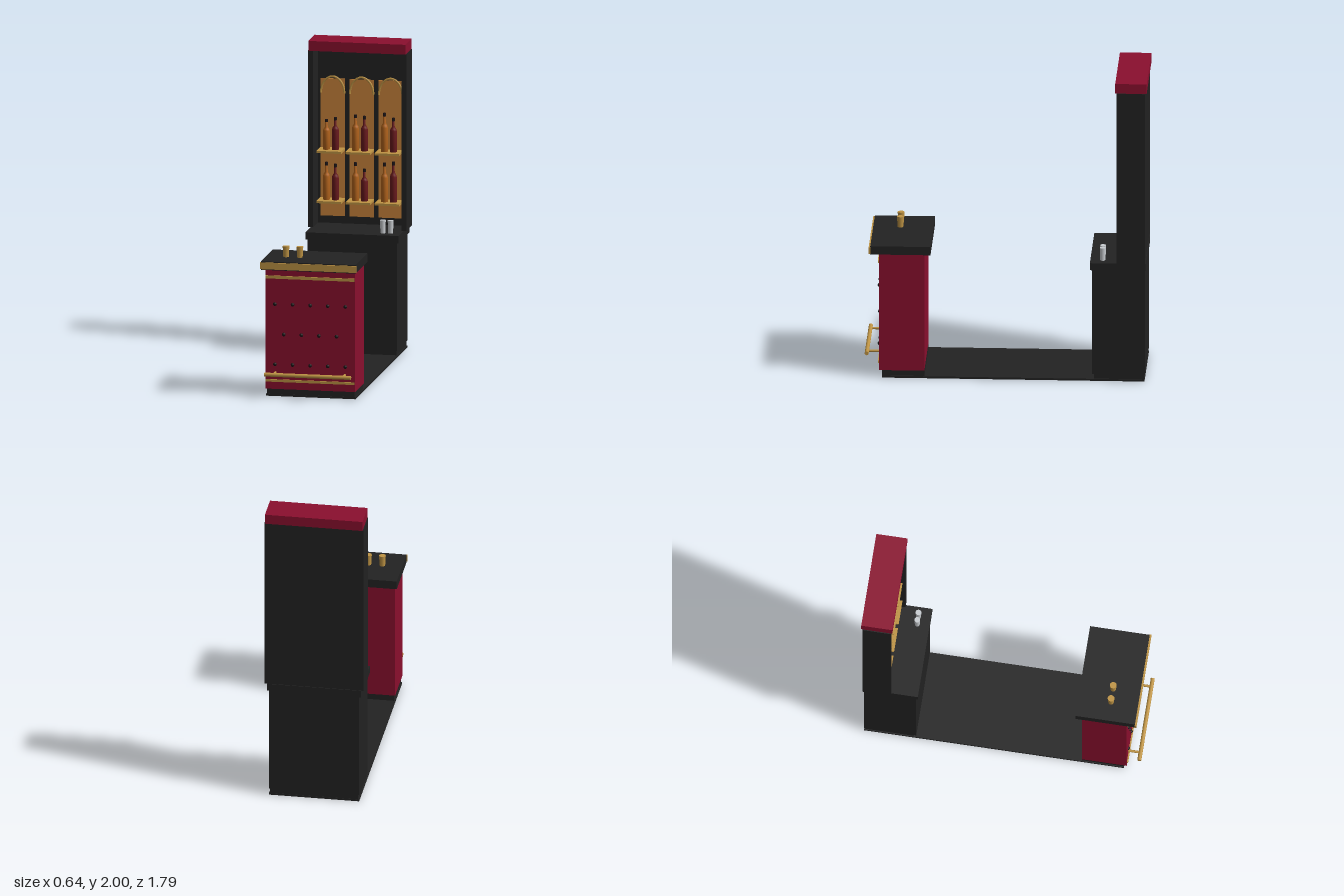
import * as THREE from 'three';

const material = (name, color) => {
  const m = new THREE.MeshStandardMaterial({ color });
  m.name = name;
  return m;
};

export function createModel() {
  const black = material('blackWood', 0x222222);
  const red = material('crimsonLeather', 0x8a0f2e);
  const brass = material('brass', 0xbf9444);
  const copper = material('copperPanel', 0xcb853c);
  const amber = material('amberGlass', 0xb5651d);
  const wine = material('wineGlass', 0x6b1a1e);
  const dark = material('darkStud', 0x1c1416);
  const silver = material('silver', 0xc8ccd0);
  const root = new THREE.Group();
  root.name = 'barAndBackBar';

  const add = (name, geometry, mat, x = 0, y = 0, z = 0, parent = root) => {
    const mesh = new THREE.Mesh(geometry, mat);
    mesh.name = name;
    mesh.position.set(x, y, z);
    parent.add(mesh);
    return mesh;
  };
  // Box given by its lower and upper limits on each axis
  const box = (name, mat, x0, x1, y0, y1, z0, z1) =>
    add(name, new THREE.BoxGeometry(x1 - x0, y1 - y0, z1 - z0), mat,
      (x0 + x1) / 2, (y0 + y1) / 2, (z0 + z1) / 2);

  // Floor joining both units
  box('floor', black, -0.29, 0.29, 0, 0.013, -0.885, 0.785);

  // Front counter
  box('counterPlinth', black, -0.283, 0.283, 0.001, 0.05, 0.515, 0.783);
  box('counterBody', red, -0.29, 0.29, 0.05, 0.83, 0.515, 0.803);
  box('counterTop', black, -0.307, 0.307, 0.83, 0.885, 0.475, 0.858);
  box('counterEdge', brass, -0.312, 0.312, 0.836, 0.879, 0.856, 0.868);
  box('upperTrim', brass, -0.288, 0.288, 0.766, 0.785, 0.8, 0.811);
  box('lowerTrim', brass, -0.288, 0.288, 0.097, 0.113, 0.8, 0.811);

  // Studs in staggered rows
  const studGeometry = new THREE.SphereGeometry(0.012, 10, 8);
  [[0.6, 5], [0.405, 4], [0.21, 5]].forEach(([y, count]) => {
    for (let i = 0; i < count; i++)
      add('stud', studGeometry, dark, (i - (count - 1) / 2) * 0.114, y, 0.803);
  });

  // Foot rail with two brackets
  add('footRail', new THREE.CylinderGeometry(0.013, 0.013, 0.56, 12), brass, 0, 0.157, 0.882).rotation.z = Math.PI / 2;
  for (const side of [-1, 1])
    add('railBracket', new THREE.CylinderGeometry(0.008, 0.008, 0.08, 10), brass, side * 0.225, 0.157, 0.842).rotation.x = Math.PI / 2;

  // Cups on the counter and glasses on the cabinet
  for (const x of [-0.18, -0.09])
    add('brassCup', new THREE.CylinderGeometry(0.022, 0.018, 0.07, 12), brass, x, 0.92, 0.685);
  for (const x of [0.185, 0.235])
    add('silverGlass', new THREE.CylinderGeometry(0.019, 0.016, 0.085, 12), silver, x, 0.833, -0.617);

  // Back cabinet
  box('cabinetPlinth', black, -0.283, 0.283, 0.001, 0.045, -0.883, -0.565);
  box('cabinetBody', black, -0.29, 0.29, 0.045, 0.745, -0.887, -0.55);
  box('cabinetTop', black, -0.302, 0.302, 0.745, 0.792, -0.893, -0.538);

  // Open hutch above the cabinet
  box('hutchBack', black, -0.3, 0.3, 0.792, 1.94, -0.888, -0.865);
  for (const side of [-1, 1])
    box('hutchSide', black, side * 0.303 - 0.016, side * 0.303 + 0.016, 0.792, 1.936, -0.89, -0.708);
  box('crown', red, -0.314, 0.314, 1.936, 2, -0.9, -0.7);

  // Brass arch of one bay
  class ArchCurve extends THREE.Curve {
    getPoint(t, target = new THREE.Vector3()) {
      const a = Math.PI * (1 - t);
      return target.set(0.076 * Math.cos(a), 0.108 * Math.sin(a), 0);
    }
  }
  const archGeometry = new THREE.TubeGeometry(new ArchCurve(), 20, 0.007, 6);

  // Bottle with a cap, scaled by its height
  const bottle = (mat, x, y, height) => {
    const group = new THREE.Group();
    group.name = 'bottle';
    group.position.set(x, y, -0.79);
    const profile = [[0, 0], [0.022, 0], [0.022, 0.62], [0.018, 0.68], [0.009, 0.74], [0.008, 0.94], [0, 0.94]]
      .map(([r, h]) => new THREE.Vector2(r, h * height));
    add('bottleGlass', new THREE.LatheGeometry(profile, 14), mat, 0, 0, 0, group);
    add('bottleCap', new THREE.CylinderGeometry(0.01, 0.01, height * 0.09, 10), dark, 0, height * 0.955, 0, group);
    root.add(group);
  };

  // Three bays: copper panel, arch, two shelves and their bottles
  const heights = [
    [[0.242, 0.232], [0.195, 0.21]],
    [[0.247, 0.207], [0.232, 0.225]],
    [[0.252, 0.262], [0.25, 0.22]],
  ];
  [-0.188, 0, 0.188].forEach((x, bay) => {
    box('copperPanel', copper, x - 0.079, x + 0.079, 0.84, 1.73, -0.866, -0.857);
    add('arch', archGeometry, brass, x, 1.637, -0.852);
    [0.945, 1.27].forEach((y, row) => {
      box('shelf', brass, x - 0.08, x + 0.08, y, y + 0.014, -0.858, -0.725);
      bottle(amber, x - 0.028, y + 0.014, heights[bay][row][0]);
      bottle(wine, x + 0.03, y + 0.014, heights[bay][row][1]);
    });
  });

  return root;
}
